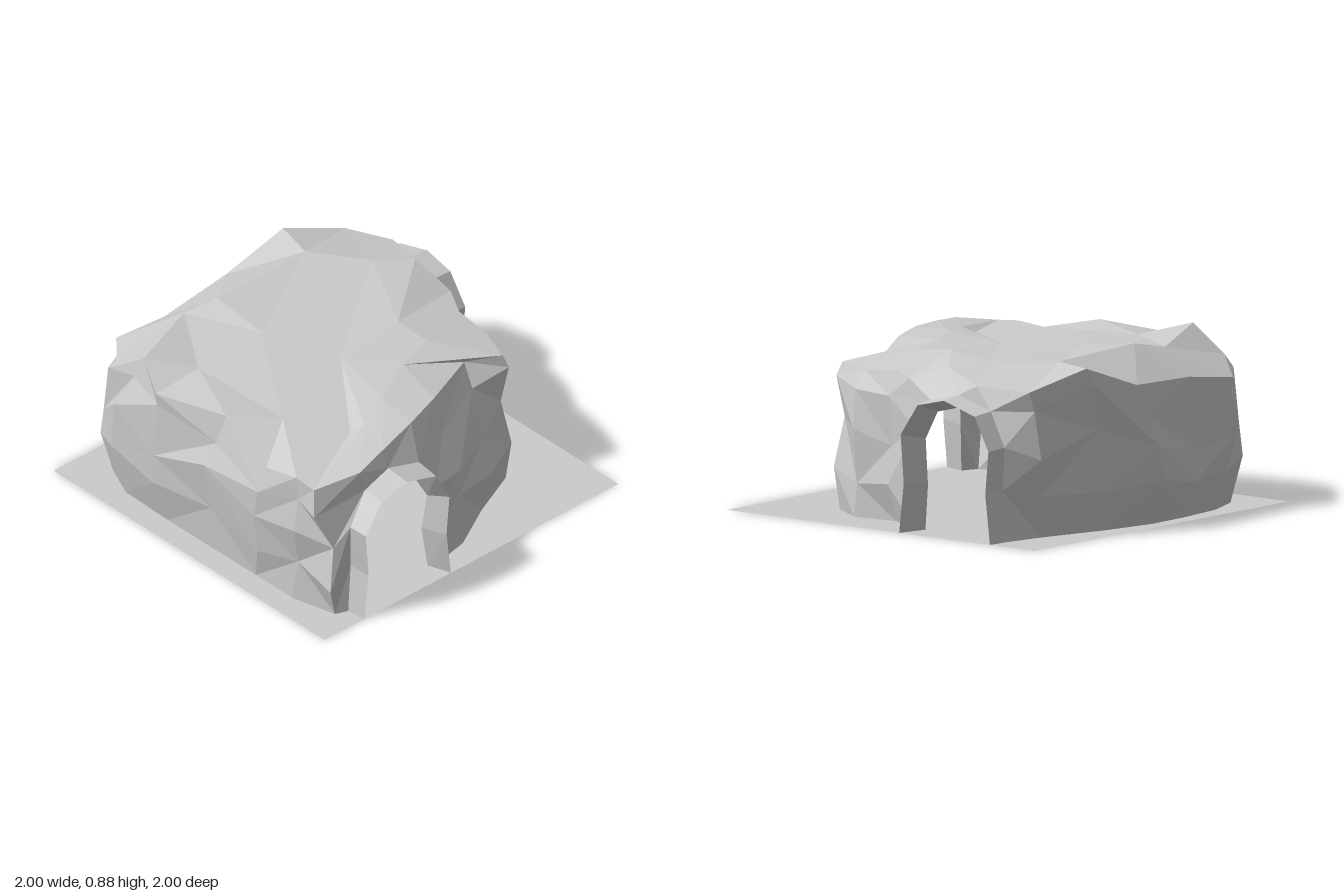
import * as THREE from 'three';

const GREY = 0xcccccc;

// Wall columns, clockwise from the front right corner: base x, z, then rim x, y, z
const COLUMNS = [
  [0.87, 0.81, 0.79, 0.75, 0.88], [0.62, 0.87, 0.66, 0.76, 0.88], [0.35, 0.87, 0.45, 0.72, 0.89],
  [0.0, 0.87, 0.1, 0.83, 0.84], [-0.3, 0.87, -0.32, 0.79, 0.94], [-0.62, 0.86, -0.5, 0.875, 0.85],
  [-0.8, 0.78, -0.72, 0.74, 0.83], [-0.88, 0.57, -0.94, 0.67, 0.63], [-0.91, 0.3, -0.88, 0.7, 0.36],
  [-0.92, 0.03, -0.92, 0.72, -0.1], [-0.86, -0.3, -0.89, 0.845, -0.46], [-0.76, -0.66, -0.78, 0.75, -0.78],
  [-0.7, -0.86, -0.52, 0.77, -0.87], [-0.41, -0.86, -0.26, 0.83, -0.78], [-0.12, -0.86, -0.02, 0.75, -0.8],
  [0.12, -0.73, 0.15, 0.76, -0.7], [0.37, -0.76, 0.36, 0.74, -0.69], [0.58, -0.62, 0.57, 0.75, -0.61],
  [0.7, -0.35, 0.48, 0.75, -0.43], [0.85, -0.08, 0.66, 0.8, -0.06],
  [0.87, 0.14, 0.75, 0.81, 0.18], [0.87, 0.44, 0.82, 0.8, 0.44], [0.87, 0.73, 0.87, 0.785, 0.64],
];
const N = COLUMNS.length;
const ROWS = [0, 0.3, 0.58, 0.84, 1];
const HOLE_ROWS = 3;

// Roof corners, one for every two columns, and the two crown points they meet at
const ROOF = [
  [0.56, 0.77, 0.42], [0.28, 0.8, 0.62], [-0.31, 0.82, 0.65], [-0.7, 0.83, 0.39],
  [-0.65, 0.865, 0.21], [-0.66, 0.85, -0.4], [-0.38, 0.845, -0.6], [0.08, 0.83, -0.35],
  [0.28, 0.81, -0.36], [0.36, 0.82, -0.12], [0.5, 0.82, 0.14], [0.6, 0.8, 0.36],
];
const CROWNS = [[-0.31, 0.83, 0.22], [0.1, 0.81, 0.06]];

// Doorway arch: offset across the opening, height
const ARCH = [
  [-0.3, 0], [-0.27, 0.25], [-0.29, 0.47], [-0.2, 0.64], [0, 0.7],
  [0.17, 0.66], [0.28, 0.5], [0.26, 0.25], [0.29, 0],
];
// Each doorway starts at a column; place(offset, height, distance from centre)
const DOORS = [
  { name: 'back', col: 12, place: (u, y, d) => new THREE.Vector3(-0.41 + u, y, -d) },
  { name: 'right', col: 20, place: (u, y, d) => new THREE.Vector3(d, y, 0.44 + u) },
];

const noise = (a, b) => {
  const s = Math.sin(a * 127.1 + b * 311.7) * 43758.5453;
  return (s - Math.floor(s)) * 2 - 1;
};

function facetMesh(name, triangles) {
  const kept = triangles.filter(([a, b, c]) => !a.equals(b) && !b.equals(c) && !a.equals(c));
  const geometry = new THREE.BufferGeometry().setFromPoints(kept.flat());
  geometry.computeVertexNormals();
  const mesh = new THREE.Mesh(geometry, new THREE.MeshStandardMaterial({ color: GREY, flatShading: true }));
  mesh.name = name;
  return mesh;
}

// Splits a quad along either diagonal; flip turns it to face the other way
function quad(out, a, b, c, d, alternate, flip) {
  const pair = alternate ? [[a, b, c], [a, c, d]] : [[a, b, d], [b, c, d]];
  for (const t of pair) out.push(flip ? [t[0], t[2], t[1]] : t);
}

// Arch loop at one depth, widened or narrowed about the middle of the doorway
const archLoop = (door, scale, depth) => ARCH.map(([u, y], i) =>
  door.place(u * scale, y * (1 + scale) / 2, depth + (scale === 1 ? 0 : 0.02 * noise(i, door.col))));

// Rows of wall points from the ground to the rim, with the doorways fitted in
function wallGrid(shrink, archScale, archDepth) {
  const grid = ROWS.map((t, r) => COLUMNS.map(([bx, bz, rx, ry, rz], i) => {
    const inner = r > 0 && r < ROWS.length - 1;
    const swell = inner ? 1 + 0.05 * Math.sin(t * Math.PI) + 0.035 * noise(i, r) : 1;
    const y = t * ry + (inner ? 0.06 * noise(i + 40, r) : 0);
    const slide = inner ? 0.025 * noise(i + 80, r) : 0;
    const x = THREE.MathUtils.lerp(bx, rx, t * t) * swell + slide;
    const z = THREE.MathUtils.lerp(bz, rz, t * t) * swell - slide;
    return new THREE.Vector3(
      THREE.MathUtils.clamp(x, -0.99, 0.92) * shrink, y * shrink,
      THREE.MathUtils.clamp(z, -0.89, 0.93) * shrink);
  }));
  for (const door of DOORS) {
    const loop = archLoop(door, archScale, archDepth);
    for (let r = 0; r <= HOLE_ROWS; r++) {
      grid[r][door.col] = loop[r];
      grid[r][door.col + 2] = loop[8 - r];
    }
    grid[HOLE_ROWS][door.col + 1] = loop[4];
  }
  return grid;
}

const isOpen = (i, r) => r < HOLE_ROWS && DOORS.some((d) => i === d.col || i === d.col + 1);

// Walls and roof as one faceted skin
function rockSkin(name, grid, shrink, inward) {
  const tris = [];
  const rim = grid[ROWS.length - 1];
  const toPoint = (p) => new THREE.Vector3(...p).multiplyScalar(shrink);
  const corners = ROOF.map(toPoint);
  const crowns = CROWNS.map(toPoint);
  const roof = (i) => corners[Math.floor(i / 2)];
  const crown = (i) => crowns[i >= 4 && i < 14 ? 0 : 1];
  for (let i = 0; i < N; i++) {
    const j = (i + 1) % N;
    for (let r = 0; r < ROWS.length - 1; r++) {
      if (isOpen(i, r)) continue;
      quad(tris, grid[r][i], grid[r + 1][i], grid[r + 1][j], grid[r][j], noise(i, r + 20) > 0, inward);
    }
    quad(tris, rim[i], roof(i), roof(j), rim[j], i % 2 === 1, inward);
    quad(tris, roof(i), crown(i), crown(j), roof(j), true, inward);
  }
  return facetMesh(name, tris);
}

// Strip of facets between two arch loops
function archStrip(name, from, to, outward) {
  const tris = [];
  for (let i = 0; i < from.length - 1; i++) {
    quad(tris, from[i], to[i], to[i + 1], from[i + 1], i % 2 === 0, outward);
  }
  return facetMesh(name, tris);
}

export function createModel() {
  const model = new THREE.Group();
  model.name = 'caveChamber';

  // Square ground, seen from above and below
  const ground = new THREE.Mesh(
    new THREE.PlaneGeometry(2, 2).rotateX(-Math.PI / 2),
    new THREE.MeshStandardMaterial({ color: GREY, side: THREE.DoubleSide }));
  ground.name = 'ground';
  model.add(ground);

  // Outer rock and the thin-walled chamber inside it
  model.add(rockSkin('outerRock', wallGrid(1, 1.04, 0.88), 1, false));
  model.add(rockSkin('innerChamber', wallGrid(0.965, 0.86, 0.86), 0.965, true));

  // Short tunnels reaching the edge of the ground
  for (const door of DOORS) {
    const tunnel = new THREE.Group();
    tunnel.name = door.name + 'Doorway';
    const mouth = archLoop(door, 1, 1);
    tunnel.add(archStrip('tunnelOutside', archLoop(door, 1.04, 0.88), mouth, true));
    tunnel.add(archStrip('tunnelLining', archLoop(door, 0.86, 0.86), mouth, false));
    model.add(tunnel);
  }
  return model;
}
